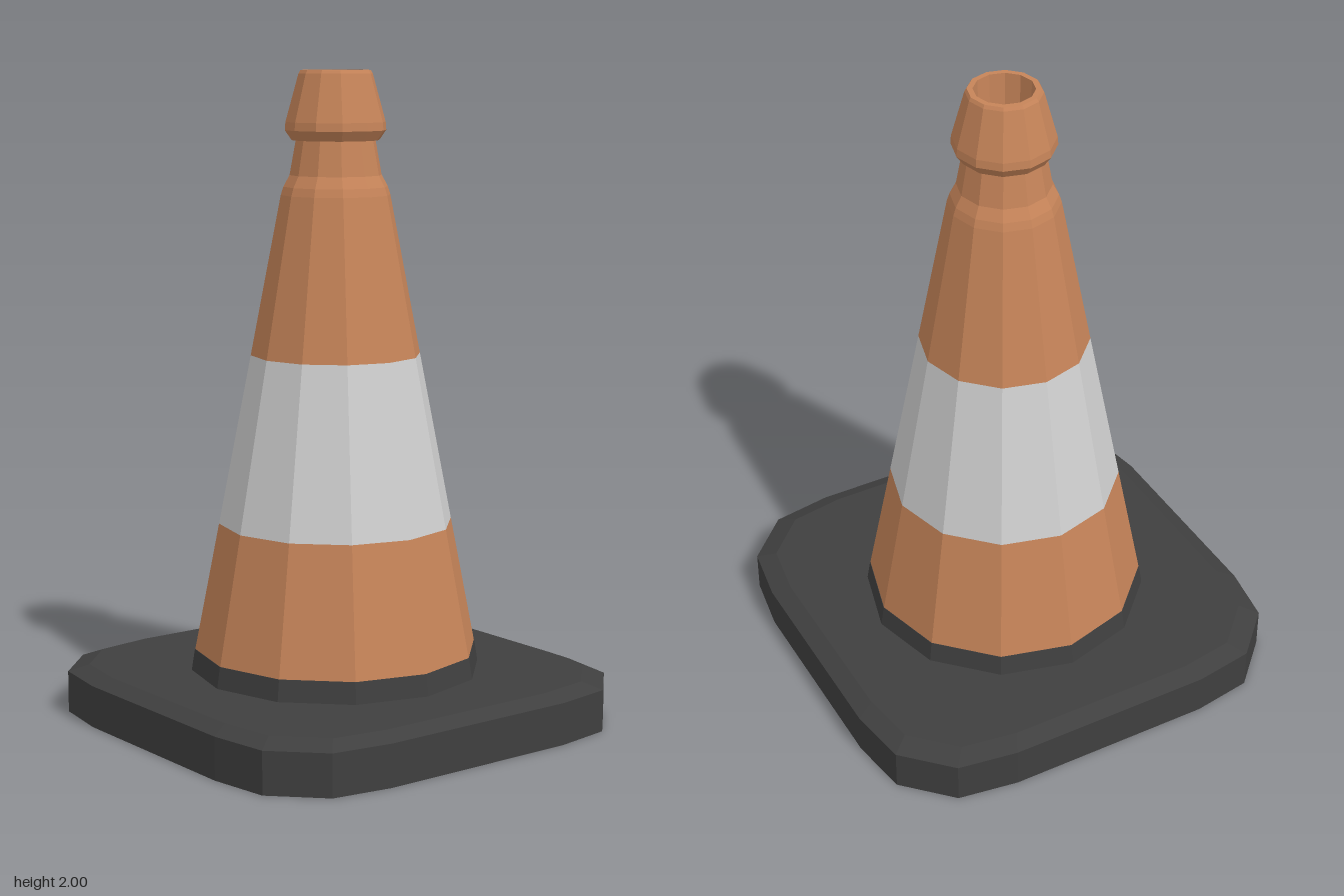
import * as THREE from 'three';

export function createModel() {
  const group = new THREE.Group();
  const orange = new THREE.MeshStandardMaterial({ name: 'orange plastic', color: 0xc68459 });
  const silver = new THREE.MeshStandardMaterial({ name: 'pale grey band', color: 0xcfcfcf });
  const rubber = new THREE.MeshStandardMaterial({ name: 'dark rubber', color: 0x3f3f3f });
  for (const m of [orange, silver, rubber]) m.flatShading = true;

  const add = (name, geometry, material) => {
    const mesh = new THREE.Mesh(geometry, material);
    mesh.name = name;
    group.add(mesh);
  };
  // Twelve-sided turned part from [radius, height] pairs, bottom to top
  const turned = (name, profile, material) =>
    add(name, new THREE.LatheGeometry(profile.map(([r, y]) => new THREE.Vector2(r, y)), 12), material);

  // Base plate: square outline with cut corners, stacked in levels of [scale, height]
  const corner = [[0.69, 0.33], [0.66, 0.52], [0.52, 0.66], [0.33, 0.69]];
  const outline = [];
  for (let q = 0; q < 4; q++) {
    const c = [1, 0, -1, 0][q], s = [0, 1, 0, -1][q];
    for (const [x, z] of corner) outline.push([x * c - z * s, x * s + z * c]);
  }
  const levels = [[0, 0], [1, 0], [1, 0.13], [0.92, 0.153], [0, 0.155]];
  const n = outline.length;
  const positions = [], indices = [];
  for (const [k, y] of levels) for (const [x, z] of outline) positions.push(x * k, y, z * k);
  for (let l = 0; l < levels.length - 1; l++) {
    for (let i = 0; i < n; i++) {
      const a = l * n + i, b = l * n + (i + 1) % n;
      if (l > 0) indices.push(a, a + n, b);
      if (l < levels.length - 2) indices.push(b, a + n, b + n);
    }
  }
  const plate = new THREE.BufferGeometry();
  plate.setAttribute('position', new THREE.Float32BufferAttribute(positions, 3));
  plate.setIndex(indices);
  plate.computeVertexNormals();
  add('basePlate', plate, rubber);

  // Cone body in coloured bands
  turned('baseCollar', [[0.452, 0.15], [0.441, 0.22], [0.43, 0.22]], rubber);
  turned('lowerCone', [[0.44, 0.219], [0.363, 0.615]], orange);
  turned('reflectiveBand', [[0.363, 0.615], [0.262, 1.137]], silver);
  turned('upperCone', [[0.262, 1.137], [0.168, 1.625], [0.16, 1.65], [0.141, 1.685], [0.122, 1.79]], orange);

  // Flared grip with a recessed hole in its top
  turned('topGrip', [
    [0.118, 1.79], [0.134, 1.79], [0.155, 1.82], [0.153, 1.845], [0.113, 1.99],
    [0.107, 2], [0.09, 2], [0.085, 1.88], [0, 1.88],
  ], orange);

  return group;
}
